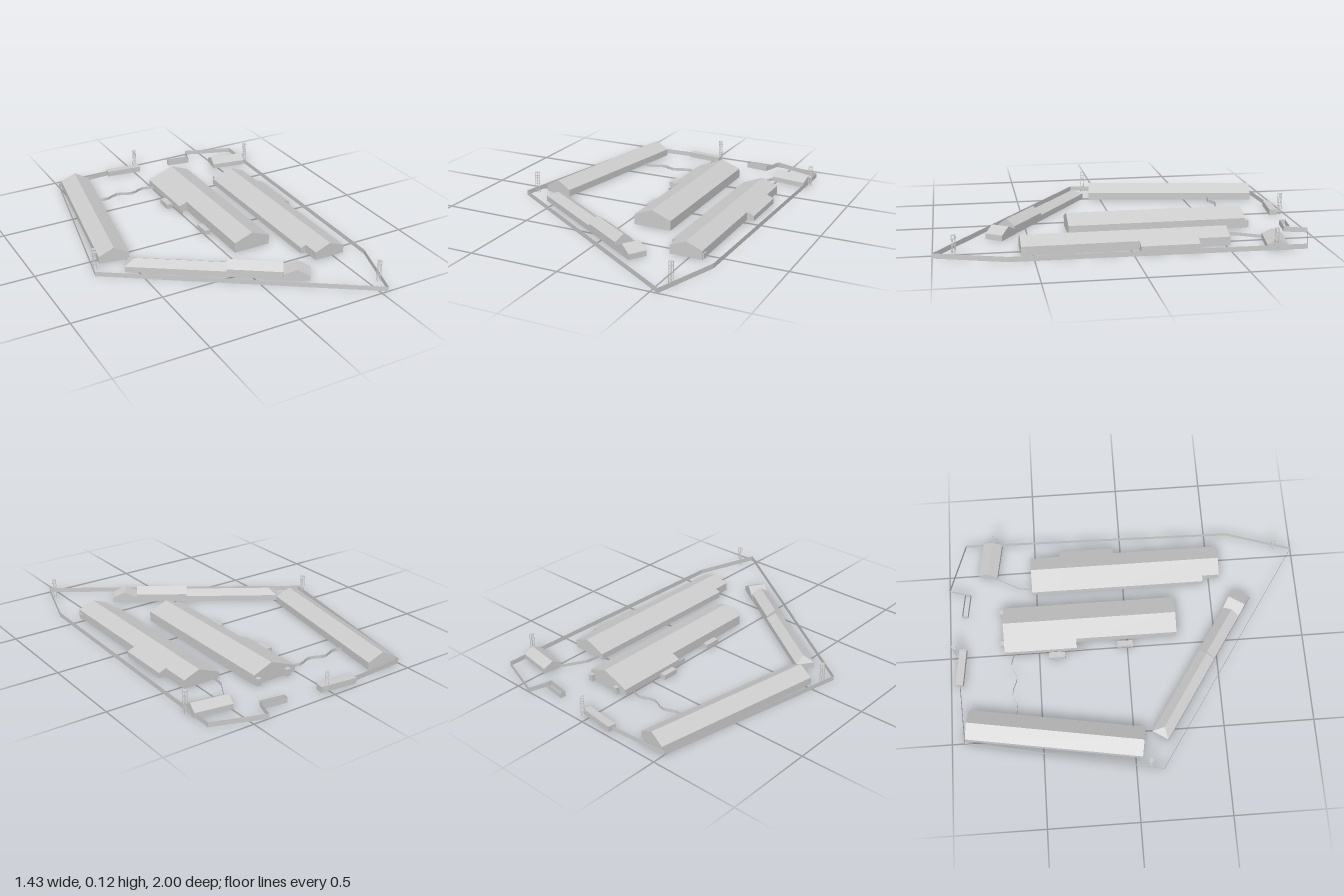
import * as THREE from 'three';

const material = new THREE.MeshStandardMaterial({ color: 0xcccccc, flatShading: true, side: THREE.DoubleSide });

function addMesh(parent, name, geometry) {
  const mesh = new THREE.Mesh(geometry, material);
  mesh.name = name;
  parent.add(mesh);
  return mesh;
}

function box(parent, name, w, h, d, x, y, z, yaw = 0) {
  const mesh = addMesh(parent, name, new THREE.BoxGeometry(w, h, d));
  mesh.position.set(x, y + h / 2, z);
  mesh.rotation.y = yaw;
  return mesh;
}

// Open-bottomed gabled shell whose ridge runs between two [x, z] points
function hall(parent, name, from, to, { left, right, eaveL, eaveR = eaveL, ridge, hip = 0 }) {
  const dx = to[0] - from[0], dz = to[1] - from[1];
  const length = Math.hypot(dx, dz);
  const profile = [[-left, 0], [-left, eaveL], [0, ridge], [right, eaveR], [right, 0]];
  const points = [];
  profile.forEach(([x, y], i) => points.push(x, y, i === 2 ? hip : 0));
  profile.forEach(([x, y]) => points.push(x, y, length));
  const index = [];
  for (let i = 0; i < 4; i++) index.push(i, i + 5, i + 6, i, i + 6, i + 1);
  index.push(0, 1, 3, 0, 3, 4, 1, 2, 3); // far end
  index.push(5, 8, 6, 5, 9, 8, 6, 8, 7); // near end
  const indexed = new THREE.BufferGeometry();
  indexed.setAttribute('position', new THREE.Float32BufferAttribute(points, 3));
  indexed.setIndex(index);
  const geometry = indexed.toNonIndexed();
  geometry.computeVertexNormals();
  const mesh = addMesh(parent, name, geometry);
  mesh.position.set(from[0], 0, from[1]);
  mesh.rotation.y = Math.atan2(dx, dz);
}

// Thin upright wall along a path of [x, z] points
function wall(parent, name, path, height) {
  const points = [], index = [];
  path.forEach(([x, z], i) => {
    points.push(x, 0, z, x, height, z);
    if (i) index.push(2 * i - 2, 2 * i, 2 * i + 1, 2 * i - 2, 2 * i + 1, 2 * i - 1);
  });
  const indexed = new THREE.BufferGeometry();
  indexed.setAttribute('position', new THREE.Float32BufferAttribute(points, 3));
  indexed.setIndex(index);
  const geometry = indexed.toNonIndexed();
  geometry.computeVertexNormals();
  addMesh(parent, name, geometry);
}

// Slender watchtower: legs, braces, platform, lookout posts and roof
function watchtower(parent, x, z, yaw) {
  const tower = new THREE.Group();
  tower.name = 'watchtower';
  tower.position.set(x, 0, z);
  tower.rotation.y = yaw;
  parent.add(tower);
  for (const sx of [-1, 1]) for (const sz of [-1, 1]) {
    box(tower, 'leg', 0.002, 0.12, 0.002, sx * 0.008, 0, sz * 0.008);
  }
  for (let i = 1; i < 6; i++) for (const s of [-1, 1]) {
    box(tower, 'brace', 0.016, 0.0015, 0.0015, 0, i * 0.017, s * 0.008);
    box(tower, 'brace', 0.0015, 0.0015, 0.016, s * 0.008, i * 0.017, 0);
  }
  box(tower, 'platform', 0.02, 0.003, 0.02, 0, 0.1, 0);
  box(tower, 'towerRoof', 0.021, 0.003, 0.021, 0, 0.12, 0);
}

export function createModel() {
  const model = new THREE.Group();
  model.name = 'walledCompound';

  // Perimeter wall, open at the gate between the two back blocks
  wall(model, 'perimeterWall', [
    [0.38, -0.9], [0.41, -1], [0.69, -0.9], [0.66, 0.63], [0.54, 1],
    [-0.72, 0.15], [-0.5, -0.93], [-0.17, -0.95],
  ], 0.027);

  // Gate blocks: one solid, one open-topped
  box(model, 'gateBlock', 0.21, 0.032, 0.042, -0.063, 0, -0.94, -0.12);
  wall(model, 'openGateBlock', [
    [0.243, -0.93], [0.378, -0.91], [0.374, -0.878], [0.239, -0.898], [0.243, -0.93],
  ], 0.03);

  // Left hall
  hall(model, 'leftHall', [-0.402, -0.912], [-0.568, 0.053],
    { left: 0.084, right: 0.084, eaveL: 0.04, ridge: 0.083 });

  // Central hall, wider at its back half, with joists inside
  const central = { right: 0.11, eaveR: 0.055, ridge: 0.098 };
  hall(model, 'centralHallBack', [0.155, -0.693], [0.155, -0.285], { ...central, left: 0.153, eaveL: 0.038 });
  hall(model, 'centralHallFront', [0.155, -0.285], [0.155, 0.283], { ...central, left: 0.105, eaveL: 0.057 });
  for (let i = 0; i < 16; i++) {
    const z = -0.66 + i * 0.055, wide = z < -0.285;
    const x0 = wide ? 0.004 : 0.052;
    box(model, 'joist', 0.263 - x0, 0.008, 0.008, (x0 + 0.263) / 2, 0.028, z);
  }
  for (const x of [0.06, 0.247]) box(model, 'backPorch', 0.026, 0.04, 0.02, x, 0, -0.704);
  box(model, 'sidePorch', 0.034, 0.028, 0.09, -0.027, 0, -0.4);
  box(model, 'sidePorch', 0.032, 0.028, 0.088, 0.014, 0, -0.012);
  wall(model, 'yardWall', [[0.002, -0.285], [0.002, -0.24]], 0.025);

  // Right hall in four bays: [back z, front z, left width, right width, left eave, right eave]
  [
    [-0.523, -0.355, 0.12, 0.09, 0.035, 0.047],
    [-0.355, -0.045, 0.12, 0.13, 0.035, 0.03],
    [-0.045, 0.463, 0.12, 0.09, 0.035, 0.047],
    [0.463, 0.56, 0.09, 0.09, 0.047, 0.047],
  ].forEach(([back, front, left, right, eaveL, eaveR]) =>
    hall(model, 'rightHallBay', [0.48, back], [0.48, front], { left, right, eaveL, eaveR, ridge: 0.083 }));
  box(model, 'sideStep', 0.01, 0.03, 0.035, 0.57, 0, 0.535);

  // Front hall: low wing with a hipped end, taller wing, and a cross-gabled end
  const frontHall = { left: 0.05, right: 0.05 };
  hall(model, 'frontHallLow', [-0.537, 0.143], [-0.09, 0.44], { ...frontHall, eaveL: 0.032, ridge: 0.06, hip: 0.045 });
  hall(model, 'frontHallHigh', [-0.09, 0.44], [0.155, 0.605], { ...frontHall, eaveL: 0.045, ridge: 0.08 });
  hall(model, 'frontHallCrossWing', [0.243, 0.6], [0.187, 0.685], { left: 0.07, right: 0.07, eaveL: 0.03, ridge: 0.062 });

  // Small gatehouse in the back right corner
  hall(model, 'gatehouse', [0.482, -0.775], [0.685, -0.742],
    { left: 0.054, right: 0.054, eaveL: 0.028, ridge: 0.056 });

  // Fences between the buildings
  const winding = [];
  for (let i = 0; i <= 12; i++) {
    winding.push([-0.36 + i * 0.03, -0.645 + 0.014 * Math.sin(i * 1.1)]);
  }
  wall(model, 'windingFence', winding, 0.018);
  wall(model, 'gatehouseFence', [[0.39, -0.523], [0.4, -0.6], [0.49, -0.76]], 0.018);

  // Watchtowers
  watchtower(model, -0.692, 0.08, -0.2);
  watchtower(model, 0.557, 0.893, -0.3);
  watchtower(model, 0.028, -0.968, Math.PI / 4);
  watchtower(model, 0.703, -0.728, 0);

  return model;
}
